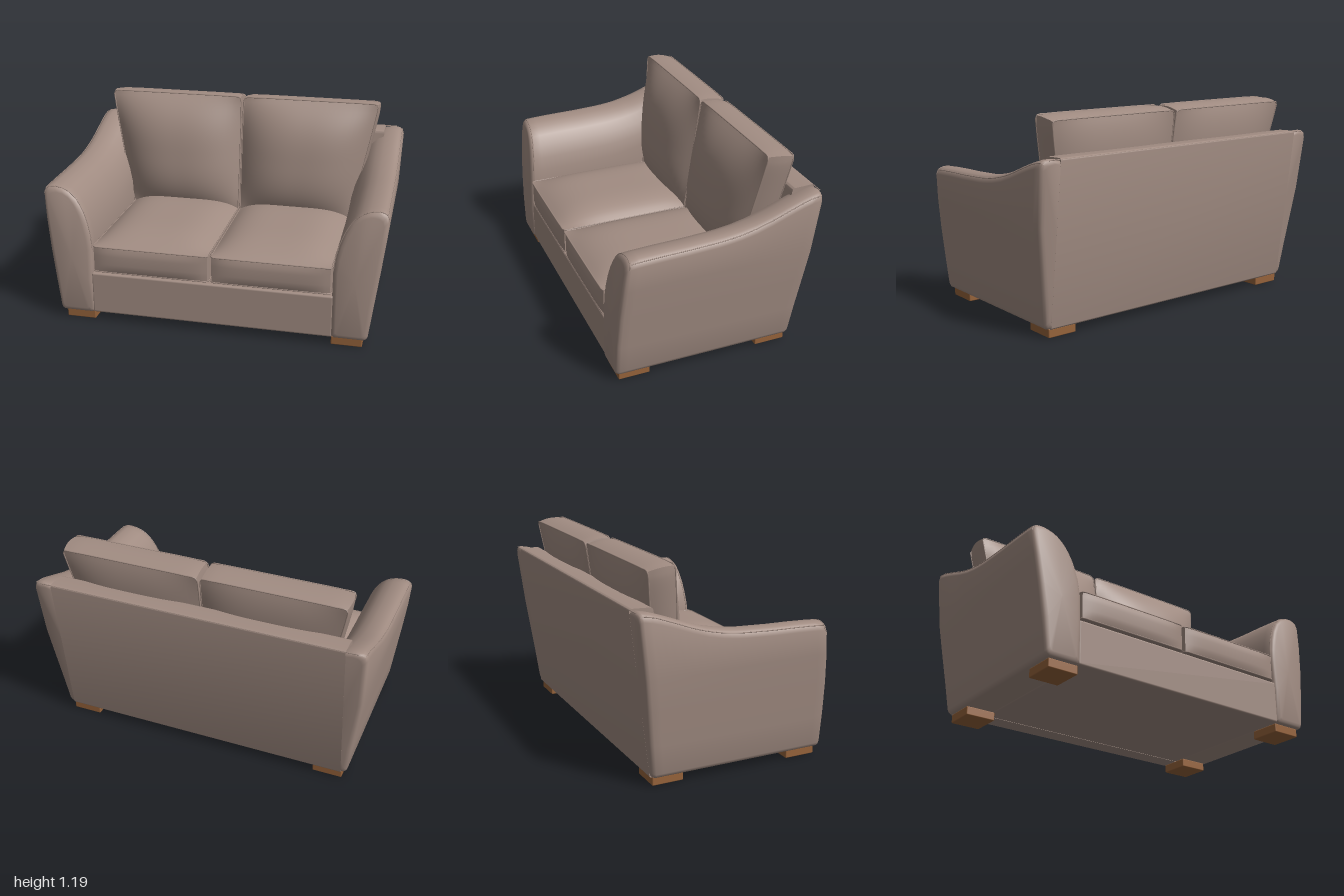
import * as THREE from 'three';
import { toCreasedNormals } from 'three/addons/utils/BufferGeometryUtils.js';
import { RoundedBoxGeometry } from 'three/addons/geometries/RoundedBoxGeometry.js';

const { lerp, clamp } = THREE.MathUtils;

// sloping front and back faces of the body, as z at height y
const frontZ = (y) => 0.588 - 0.046 * Math.pow(Math.max(0, (y - 0.25) / 0.56), 1.6);
const backZ = (y) => -0.48 - 0.113 * (y - 0.05) / 0.94;

// height of the arm crest along z, from front to back
const CREST = [[0.56, 0.81], [0.5, 0.818], [0.35, 0.824], [0.2, 0.827], [0, 0.836], [-0.1, 0.848], [-0.2, 0.869],
  [-0.3, 0.902], [-0.4, 0.942], [-0.5, 0.978], [-0.56, 0.99], [-0.62, 0.992]];
function crest(z) {
  const i = clamp(CREST.findIndex((p) => p[0] < z), 1, CREST.length - 1);
  const [a, b] = [CREST[i - 1], CREST[i]];
  return lerp(a[1], b[1], clamp((z - a[0]) / (b[0] - a[0]), 0, 1));
}

// arm cross-section: fixed lower points, and upper points measured down from the crest
const INNER = [[0.72, 0.05], [0.705, 0.06], [0.705, 0.25], [0.705, 0.45]];
const TOP = [[0.714, 0.28], [0.733, 0.2], [0.76, 0.13], [0.8, 0.066], [0.845, 0.026], [0.89, 0.007],
  [0.94, 0], [0.97, 0.005], [0.988, 0.017], [0.997, 0.045]];
const OUTER = [[0.985, 0.63], [0.963, 0.45], [0.937, 0.25], [0.915, 0.075], [0.908, 0.058], [0.895, 0.05]];

function armSection(t, inset) {
  const h = crest(lerp(0.545, -0.59, t));
  const pts = [...INNER, ...TOP.map(([x, d]) => [x, h - d]), ...OUTER];
  return pts.map(([x, y]) => {
    const px = x + clamp((0.84 - x) / 0.1, -1, 1) * inset;
    const py = y + clamp((0.45 - y) / 0.3, -1, 1) * inset;
    return new THREE.Vector3(px, py, lerp(frontZ(py), backZ(py), t));
  });
}

function armGeometry(side) {
  const stations = [[0, 0.028], [0.004, 0.014], [0.011, 0.005], [0.024, 0]];
  for (let i = 1; i < 24; i++) stations.push([lerp(0.024, 0.976, i / 24), 0]);
  stations.push([0.976, 0], [0.989, 0.005], [0.996, 0.014], [1, 0.028]);
  const rings = stations.map(([t, inset]) => armSection(t, inset));
  const n = rings[0].length, last = rings.length - 1;
  const pos = [], index = [];
  const add = (p) => pos.push(p.x * side, p.y, p.z);
  const tri = (a, b, c) => (side > 0 ? index.push(a, b, c) : index.push(a, c, b));
  rings.forEach((r) => r.forEach(add));
  add(new THREE.Vector3(0.83, 0.4, frontZ(0.4)));
  add(new THREE.Vector3(0.83, 0.4, backZ(0.4)));
  const front = rings.length * n;
  for (let j = 0; j < n; j++) {
    const k = (j + 1) % n;
    for (let s = 0; s < last; s++) {
      tri(s * n + j, s * n + k, s * n + n + j);
      tri(s * n + k, s * n + n + k, s * n + n + j);
    }
    tri(front, k, j);
    tri(front + 1, last * n + j, last * n + k);
  }
  const g = new THREE.BufferGeometry();
  g.setAttribute('position', new THREE.Float32BufferAttribute(pos, 3));
  g.setIndex(index);
  return toCreasedNormals(g, 0.75);
}

// cushion maps take u, v, w in -1..1 to a point
const round = (u, v, k) => [u * (1 - k * Math.pow(v, 10)), v * (1 - k * Math.pow(u, 10))];
const dome = (a, b, p) => (1 - Math.pow(Math.abs(a), p)) * (1 - Math.pow(Math.abs(b), p));

// u across, v depth (front +1), w up
function seatMap(u, v, w) {
  const [a, b] = round(u, v, 0.015);
  const z = lerp(-0.36, 0.578, (b + 1) / 2) + (v > 0.99 ? 0.012 * dome(u, w, 4) : 0);
  const y = w > 0 ? lerp(0.4, 0.476, w) + 0.072 * Math.max(0, w) * dome(u, v, 4) : lerp(0.4, 0.322, -w);
  return new THREE.Vector3(0.353 + 0.346 * a, y, z);
}

// u across (outer +1), v up, w depth (front +1)
function backMap(u, v, w) {
  const [a, b] = round(u, v, 0.022);
  const h = (b + 1) / 2, k = (w + 1) / 2;
  const outer = 0.694 + 0.158 * Math.pow(h, 0.92);
  const zf = lerp(-0.215, -0.318, h) + 0.112 * dome(u, v, 2.8);
  const zb = lerp(-0.37, -0.472, h) - 0.045 * dome(u, v, 3);
  const puff = 0.012 * (1 - w * w);
  const x = lerp(0.006, outer, (a + 1) / 2) + (u > 0.99 ? puff : 0);
  const y = lerp(0.45, lerp(1.168, 1.188, k), h) + (v > 0.99 ? puff * 0.8 : 0);
  return new THREE.Vector3(x, y, lerp(zb, zf, k));
}

function cushionGeometry(map, side, segments) {
  const g = new THREE.BoxGeometry(2, 2, 2, ...segments);
  const p = g.attributes.position;
  for (let i = 0; i < p.count; i++) {
    const q = map(side * p.getX(i), p.getY(i), p.getZ(i));
    p.setXYZ(i, side * q.x, q.y, q.z);
  }
  g.computeVertexNormals();
  return g;
}

// points round the rim of a cushion face
function rim(at, side) {
  const pts = [], corners = [[-1, -1], [1, -1], [1, 1], [-1, 1]];
  corners.forEach(([a, b], i) => {
    const [c, d] = corners[(i + 1) % 4];
    for (let s = 0; s < 12; s++) {
      const q = at(lerp(a, c, s / 12), lerp(b, d, s / 12));
      pts.push(q.setX(q.x * side));
    }
  });
  return pts;
}

export function createModel() {
  const upholstery = new THREE.MeshStandardMaterial({ color: 0xa18c82 });
  upholstery.name = 'taupe upholstery';
  const wood = new THREE.MeshStandardMaterial({ color: 0x95623a });
  wood.name = 'brown wood';

  const sofa = new THREE.Group();
  sofa.name = 'sofa';
  const add = (name, geometry, material = upholstery) => {
    const m = new THREE.Mesh(geometry, material);
    m.name = name;
    sofa.add(m);
    return m;
  };
  const piping = (name, pts, closed, r = 0.004) =>
    add(name, new THREE.TubeGeometry(new THREE.CatmullRomCurve3(pts, closed), pts.length * 3, r, 6, closed));

  // base under the seat
  add('base', new RoundedBoxGeometry(1.43, 0.255, 1.03, 3, 0.012)).position.set(0, 0.1795, 0.062);

  // leaning back panel with a softened top edge
  const s = new THREE.Shape();
  s.moveTo(0.36, 0.05);
  s.lineTo(0.47, 0.05);
  s.quadraticCurveTo(0.48, 0.05, 0.482, 0.065);
  s.lineTo(0.591, 0.972);
  s.quadraticCurveTo(0.593, 0.99, 0.575, 0.99);
  s.lineTo(0.475, 0.986);
  s.quadraticCurveTo(0.458, 0.985, 0.455, 0.965);
  s.lineTo(0.36, 0.4);
  const panel = new THREE.ExtrudeGeometry(s, { depth: 1.76, bevelEnabled: false, curveSegments: 6 });
  panel.translate(0, 0, -0.88).rotateY(Math.PI / 2).rotateY(Math.PI / 2).rotateY(-Math.PI / 2);
  // shape x runs towards the back
  add('backPanel', toCreasedNormals(panel, 0.6));
  piping('backTopSeam', [-0.95, -0.3, 0.3, 0.95].map((x) => new THREE.Vector3(x, 0.984, -0.586)), false, 0.003);

  for (const side of [1, -1]) {
    const name = side > 0 ? 'left' : 'right';
    const flip = (p) => p.setX(p.x * side);

    // flared arm with seams round its front and along its outer top edge
    add(name + 'Arm', armGeometry(side));
    piping(name + 'ArmFrontSeam', armSection(0.018, 0.002).slice(3, 14).map(flip), false, 0.003);
    const along = [];
    for (let i = 0; i <= 16; i++) along.push(flip(armSection(lerp(0.02, 0.98, i / 16), 0)[12]));
    piping(name + 'ArmTopSeam', along, false, 0.003);

    // seat cushion: face axes are across, up, depth
    add(name + 'SeatCushion', cushionGeometry((u, y, z) => seatMap(u, z, y), side, [24, 6, 28]));
    piping(name + 'SeatTopPiping', rim((u, v) => seatMap(u, v, 1), side), true);
    piping(name + 'SeatBottomPiping', rim((u, v) => seatMap(u, v, -1), side), true);

    // back cushion
    add(name + 'BackCushion', cushionGeometry(backMap, side, [26, 28, 6]));
    piping(name + 'BackFrontPiping', rim((u, v) => backMap(u, v, 1), side), true);
    piping(name + 'BackRearPiping', rim((u, v) => backMap(u, v, -1), side), true);

    // block feet
    for (const [end, z] of [['Front', 0.468], ['Rear', -0.373]]) {
      add(name + end + 'Foot', new RoundedBoxGeometry(0.178, 0.052, 0.185, 2, 0.006), wood)
        .position.set(side * 0.796, 0.026, z);
    }
  }
  return sofa;
}
